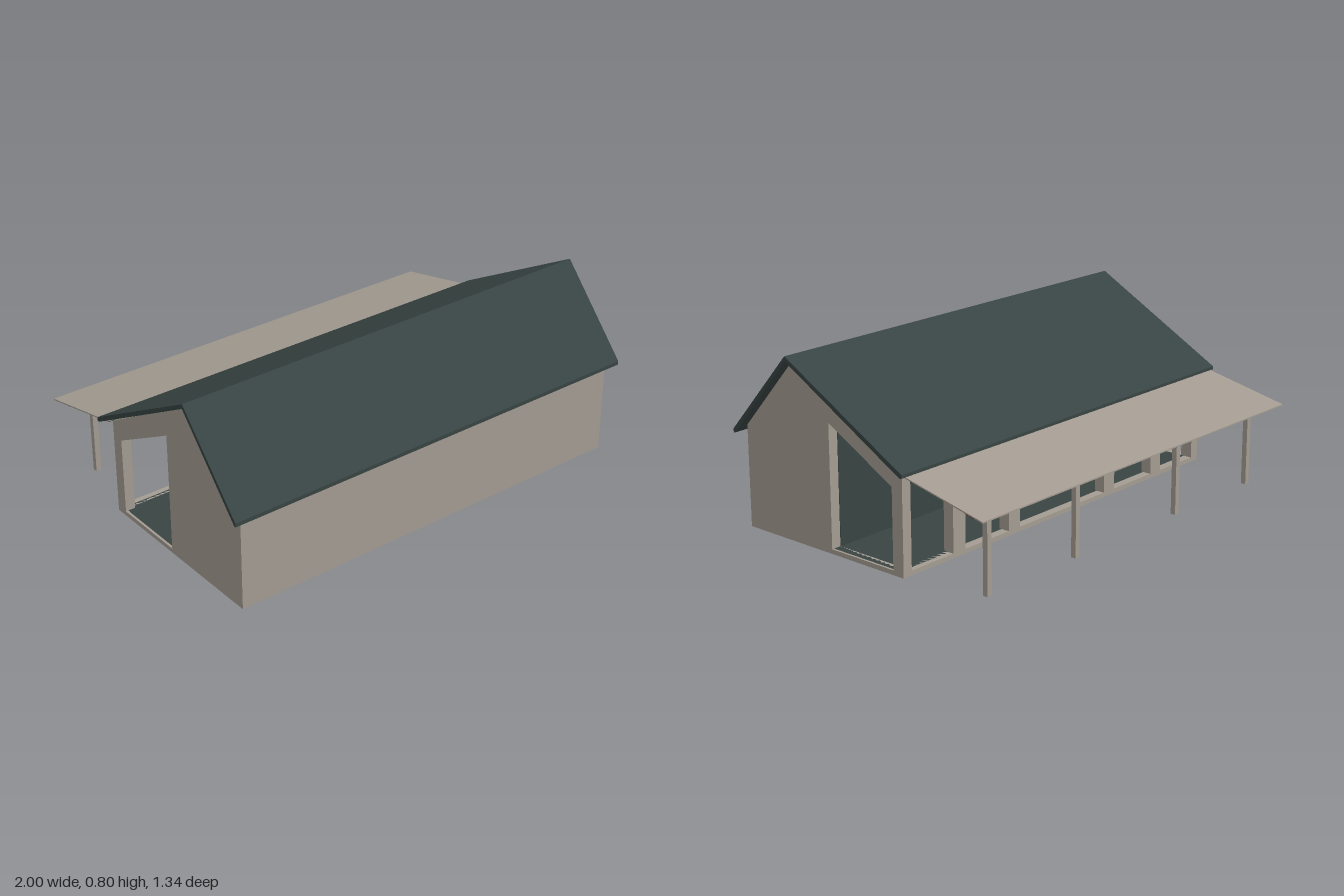
import * as THREE from 'three';

const mat = (name, color) => new THREE.MeshStandardMaterial({ name, color });

export function createModel() {
  const house = new THREE.Group();
  house.name = 'house';
  const plaster = mat('warm grey plaster', 0xa49c92);
  const slate = mat('dark slate', 0x384443);
  const timber = mat('brown timber', 0x5c3226);

  const add = (name, geometry, material) => {
    const mesh = new THREE.Mesh(geometry, material);
    mesh.name = name;
    house.add(mesh);
    return mesh;
  };
  const vec = (pts) => pts.map(([z, y]) => new THREE.Vector2(z, y));

  // Extrudes a [z, y] section along x, centred on the given x
  const section = (name, pts, width, material, x = 0, hole = null) => {
    const shape = new THREE.Shape(vec(pts));
    if (hole) shape.holes.push(new THREE.Path(vec(hole)));
    const g = new THREE.ExtrudeGeometry(shape, { depth: width, bevelEnabled: false });
    g.translate(0, 0, -width / 2).rotateY(-Math.PI / 2).translate(x, 0, 0);
    return add(name, g, material);
  };
  const box = (name, x0, x1, y0, y1, z0, z1, material) =>
    add(name, new THREE.BoxGeometry(x1 - x0, y1 - y0, z1 - z0)
      .translate((x0 + x1) / 2, (y0 + y1) / 2, (z0 + z1) / 2), material);

  // Gable ends, each with the sloped opening of the open gallery
  const gable = [[0.635, 0.01], [-0.24, 0.01], [-0.24, 0.437], [0.345, 0.778], [0.635, 0.452]];
  const opening = [[0.155, 0.03], [0.155, 0.555], [-0.185, 0.37], [-0.185, 0.03]];
  for (const s of [-1, 1]) section('gableWall', gable, 0.045, plaster, s * 0.9325, opening);

  // Closed front rooms
  section('frontRooms',
    [[0.635, 0.01], [0.16, 0.01], [0.16, 0.668], [0.345, 0.778], [0.635, 0.452]], 1.82, plaster);

  // Dark lining of the gallery: inner wall, sloped ceiling, floor
  box('galleryInnerWall', -0.91, 0.91, 0.03, 0.56, 0.153, 0.16, slate);
  section('galleryCeiling', [[0.155, 0.555], [0.155, 0.563], [-0.19, 0.376], [-0.19, 0.368]], 1.82, slate);
  box('galleryFloor', -0.945, 0.945, 0.008, 0.03, -0.215, 0.16, slate);

  // Open back wall: sill, header and posts
  box('backSill', -0.91, 0.91, 0.01, 0.03, -0.24, -0.2, plaster);
  box('backHeader', -0.91, 0.91, 0.37, 0.43, -0.236, -0.185, slate);
  for (const x of [-0.64, -0.31, 0.31, 0.64])
    box('backPost', x - 0.035, x + 0.035, 0.03, 0.38, -0.24, -0.19, plaster);

  // Asymmetric pitched roof
  section('roof', [[0.345, 0.797], [0.668, 0.437], [0.668, 0.42], [0.66, 0.421], [0.343, 0.776],
    [-0.272, 0.434], [-0.284, 0.436], [-0.284, 0.45]], 2, slate);

  // Lean-to veranda roof, pale above and dark below
  section('verandaRoof', [[-0.24, 0.446], [-0.24, 0.441], [-0.672, 0.347], [-0.672, 0.353]], 1.96, plaster);
  section('verandaSoffit', [[-0.24, 0.441], [-0.24, 0.438], [-0.668, 0.345], [-0.668, 0.348]], 1.95, slate);

  // Veranda beam following the roof slope, on four columns with small caps
  section('verandaBeam', [[-0.555, 0.37], [-0.555, 0.35], [-0.6, 0.338], [-0.6, 0.36]], 1.9, timber);
  for (const x of [-0.85, -0.33, 0.33, 0.85]) {
    box('verandaColumn', x - 0.012, x + 0.012, 0, 0.332, -0.588, -0.565, plaster);
    box('columnCap', x - 0.014, x + 0.014, 0.33, 0.348, -0.59, -0.563, timber);
  }
  return house;
}
